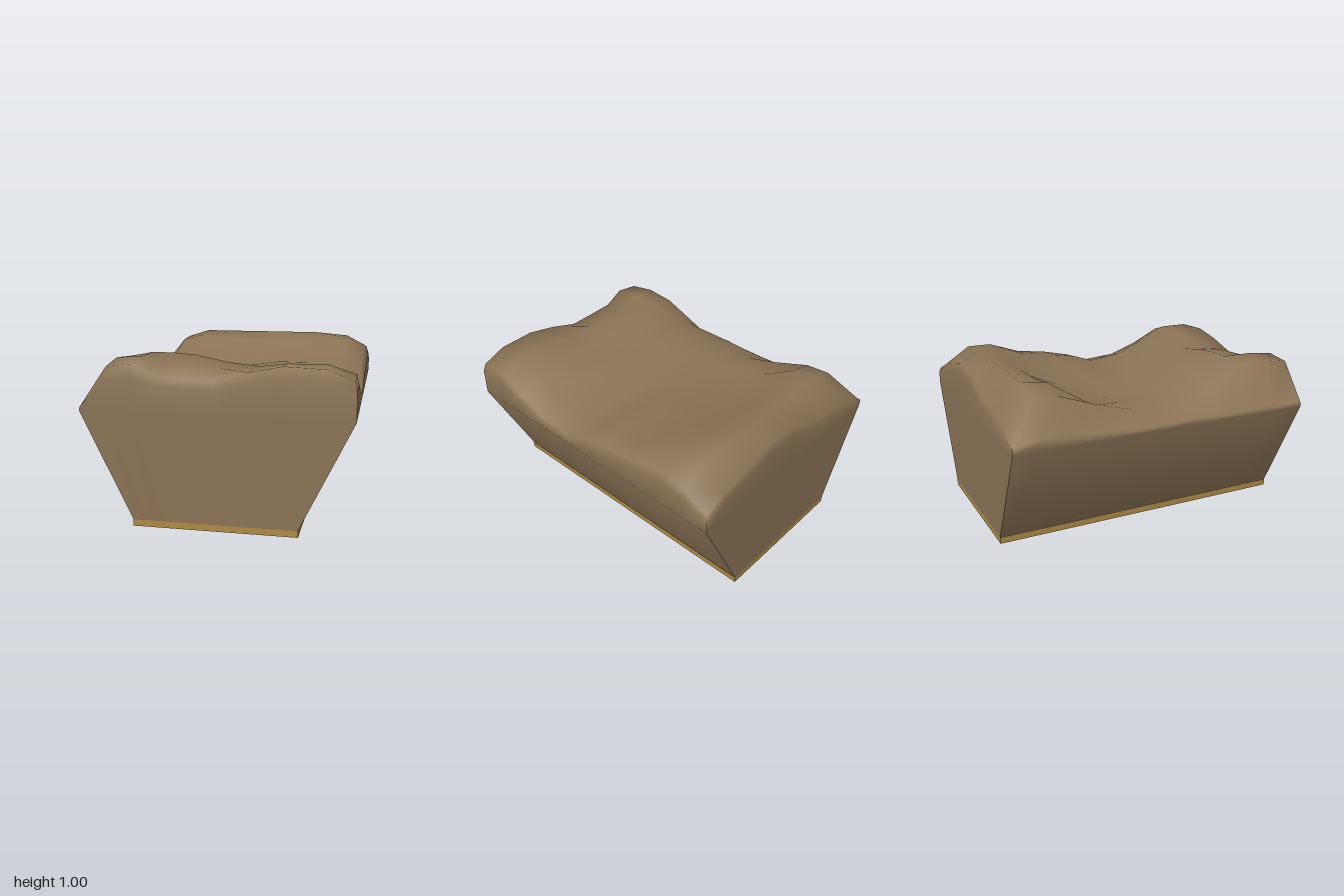
import * as THREE from 'three';
import { toCreasedNormals } from 'three/addons/utils/BufferGeometryUtils.js';

// Heights of the lumpy surface: one row per z, one entry per x
const XS = [-0.795, -0.64, -0.48, -0.35, -0.2, 0, 0.2, 0.4, 0.64, 0.795];
const ZS = [-0.985, -0.82, -0.66, -0.4, -0.18, 0, 0.15, 0.4, 0.6, 0.8, 0.985];
const HEIGHTS = [
  [0.74, 0.8, 0.83, 0.84, 0.87, 0.96, 0.98, 0.93, 0.87, 0.81],
  [0.76, 0.95, 1.0, 1.0, 1.0, 1.0, 1.0, 1.0, 0.98, 0.89],
  [0.75, 0.94, 0.98, 0.96, 0.95, 0.94, 0.95, 0.97, 0.98, 0.92],
  [0.73, 0.85, 0.82, 0.8, 0.8, 0.81, 0.84, 0.87, 0.88, 0.87],
  [0.72, 0.79, 0.79, 0.79, 0.8, 0.82, 0.85, 0.85, 0.85, 0.84],
  [0.72, 0.78, 0.79, 0.79, 0.8, 0.8, 0.8, 0.81, 0.82, 0.8],
  [0.73, 0.78, 0.79, 0.8, 0.8, 0.8, 0.79, 0.78, 0.77, 0.74],
  [0.72, 0.85, 0.9, 0.91, 0.9, 0.88, 0.87, 0.84, 0.8, 0.76],
  [0.72, 0.97, 1.0, 1.0, 0.99, 0.95, 0.93, 0.93, 0.89, 0.83],
  [0.72, 0.99, 1.0, 0.95, 0.96, 0.94, 0.94, 0.98, 0.98, 0.93],
  [0.72, 0.96, 0.98, 0.91, 0.9, 0.89, 0.95, 0.99, 0.98, 0.92],
];
const BASE_Y = 0.04;
const SHOULDER_Y = 0.69;
const SHOULDER_X = 0.81;
const BASE_X = 0.495;

function moundGeometry() {
  const positions = [];
  const quad = (a, b, c, d) => positions.push(...a, ...b, ...c, ...a, ...c, ...d);
  const top = (i, j) => [XS[i], HEIGHTS[j][i], ZS[j]];
  const nx = XS.length - 1;
  const nz = ZS.length - 1;

  // Uneven top
  for (let j = 0; j < nz; j++) {
    for (let i = 0; i < nx; i++) {
      quad(top(i, j), top(i, j + 1), top(i + 1, j + 1), top(i + 1, j));
    }
  }

  // Rim, followed around front, +x side, back, -x side
  const rim = [];
  for (let i = 0; i < nx; i++) rim.push(top(i, nz));
  for (let j = nz; j > 0; j--) rim.push(top(nx, j));
  for (let i = nx; i > 0; i--) rim.push(top(i, 0));
  for (let j = 0; j < nz; j++) rim.push(top(0, j));

  // Walls: narrow foot, wide shoulder, upright band, then a slight bevel to the rim
  const ring = ([x, , z], halfWidth, y) => [(x / XS[nx]) * halfWidth, y, z / ZS[nz]];
  const rings = [
    (p) => ring(p, BASE_X, BASE_Y),
    (p) => ring(p, SHOULDER_X, SHOULDER_Y),
    (p) => ring(p, SHOULDER_X, SHOULDER_Y + 0.75 * (p[1] - SHOULDER_Y)),
    (p) => p,
  ];
  rim.forEach((p, k) => {
    const q = rim[(k + 1) % rim.length];
    for (let r = 0; r < rings.length - 1; r++) {
      quad(rings[r](p), rings[r](q), rings[r + 1](q), rings[r + 1](p));
    }
  });

  // Soft rim, sharp upright corners
  const geometry = new THREE.BufferGeometry();
  geometry.setAttribute('position', new THREE.Float32BufferAttribute(positions, 3));
  return toCreasedNormals(geometry, 1.45);
}

export function createModel() {
  const earth = new THREE.MeshStandardMaterial({ color: 0x8b7355 });
  earth.name = 'earth brown';
  const ochre = new THREE.MeshStandardMaterial({ color: 0xae8a45 });
  ochre.name = 'ochre';

  const group = new THREE.Group();
  group.name = 'earthLoad';

  const mound = new THREE.Mesh(moundGeometry(), earth);
  mound.name = 'mound';

  // Thin slab under the load
  const floor = new THREE.Mesh(new THREE.BoxGeometry(0.995, BASE_Y, 2), ochre);
  floor.name = 'floorSlab';
  floor.position.y = BASE_Y / 2;

  group.add(mound, floor);
  return group;
}
